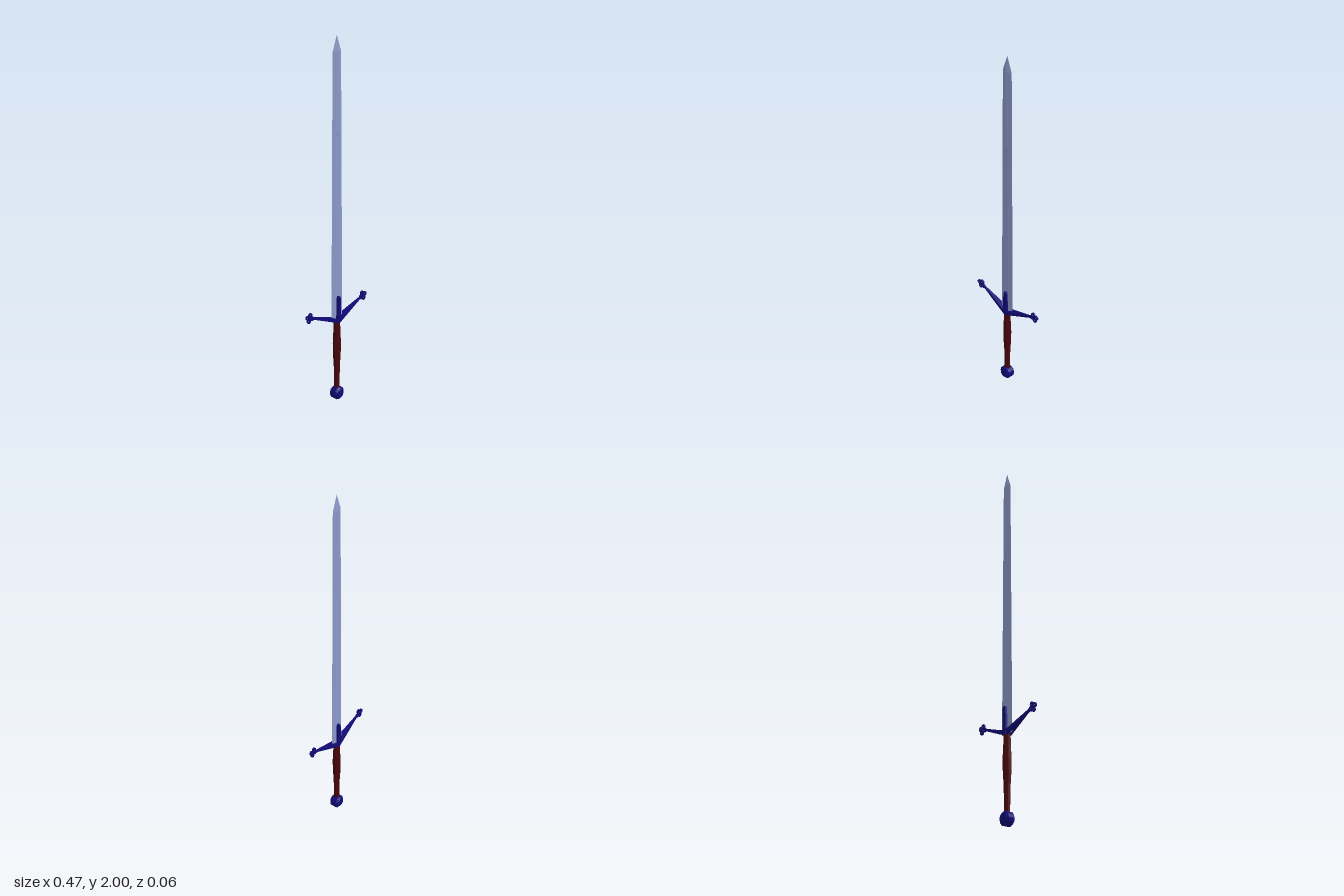
import * as THREE from 'three';

const material = (color) => new THREE.MeshStandardMaterial({ color, flatShading: true, side: THREE.DoubleSide });

// Skin a list of equal-length point rings and cap both ends
function loft(rings) {
  const pos = [], idx = [], n = rings[0].length;
  rings.forEach((ring) => ring.forEach((p) => pos.push(...p)));
  for (let r = 0; r < rings.length - 1; r++) {
    for (let i = 0; i < n; i++) {
      const a = r * n + i, b = r * n + (i + 1) % n;
      idx.push(a, a + n, b, b, a + n, b + n);
    }
  }
  const last = (rings.length - 1) * n;
  for (let i = 1; i < n - 1; i++) idx.push(0, i, i + 1, last, last + i + 1, last + i);
  const g = new THREE.BufferGeometry();
  g.setAttribute('position', new THREE.Float32BufferAttribute(pos, 3));
  g.setIndex(idx);
  const flat = g.toNonIndexed();
  flat.computeVertexNormals();
  return flat;
}

// Blade section: edge, shoulder, centre on each face; shoulder/centre depths set the fuller
function bladeRing(y, w, shoulderX, shoulderZ, centreZ) {
  return [
    [w, y, 0], [shoulderX, y, shoulderZ], [0, y, centreZ], [-shoulderX, y, shoulderZ],
    [-w, y, 0], [-shoulderX, y, -shoulderZ], [0, y, -centreZ], [shoulderX, y, -shoulderZ],
  ];
}

export function createModel() {
  const group = new THREE.Group();
  const steel = material(0x8c9acb);
  const blue = material(0x120a78);
  const red = material(0x4a060a);
  const add = (name, geometry, mat, parent = group) => {
    const mesh = new THREE.Mesh(geometry, mat);
    mesh.name = name;
    parent.add(mesh);
    return mesh;
  };

  // Blade: shallow fuller on the lower part, ridged diamond above
  add('blade', loft([
    bladeRing(0.47, 0.042, 0.014, 0.008, 0.005),
    bladeRing(1.49, 0.034, 0.011, 0.008, 0.005),
    bladeRing(1.51, 0.034, 0.011, 0.008, 0.012),
    bladeRing(1.92, 0.03, 0.01, 0.0075, 0.011),
    bladeRing(2.0, 0.0005, 0.0002, 0.0002, 0.0004),
  ]), steel);

  // Grip: eight-sided, swelling in the middle
  const gripProfile = [[0, 0.06], [0.016, 0.06], [0.019, 0.2], [0.024, 0.28], [0.025, 0.34], [0.021, 0.42], [0.02, 0.465], [0, 0.465]]
    .map(([x, y]) => new THREE.Vector2(x, y));
  const gripGeometry = new THREE.LatheGeometry(gripProfile, 8, Math.PI / 8);
  gripGeometry.scale(1, 1, 0.9);
  add('grip', gripGeometry, red);

  // Pommel: bevelled disc facing front and back
  const pommelProfile = [[0, -0.028], [0.024, -0.028], [0.037, -0.017], [0.037, 0.017], [0.024, 0.028], [0, 0.028]]
    .map(([x, y]) => new THREE.Vector2(x, y));
  const pommel = add('pommel', new THREE.LatheGeometry(pommelProfile, 12), blue);
  pommel.rotation.x = Math.PI / 2;
  pommel.position.y = 0.037;

  // Langets: round-topped tongues on both faces of the blade
  const tongue = new THREE.Shape();
  tongue.moveTo(-0.014, 0.465);
  tongue.lineTo(0.014, 0.465);
  tongue.lineTo(0.01, 0.605);
  tongue.lineTo(0.005, 0.614);
  tongue.lineTo(-0.005, 0.614);
  tongue.lineTo(-0.01, 0.605);
  for (const side of [1, -1]) {
    const g = new THREE.ExtrudeGeometry(tongue, { depth: 0.014, bevelEnabled: false });
    g.translate(0, 0, side > 0 ? 0.006 : -0.02);
    add(side > 0 ? 'frontLanget' : 'backLanget', g, blue);
  }

  // One arm section: centre height, half height and half depth
  const armRing = (x, y, h, d) => [[x, y - h, d], [x, y + h, d], [x, y + h, -d], [x, y - h, -d]];

  // Quatrefoil lobe: flat ring
  const lobe = new THREE.Shape();
  lobe.absarc(0, 0, 0.0125, 0, Math.PI * 2);
  const hole = new THREE.Path();
  hole.absarc(0, 0, 0.007, 0, Math.PI * 2, true);
  lobe.holes.push(hole);
  const lobeGeometry = new THREE.ExtrudeGeometry(lobe, { depth: 0.009, bevelEnabled: false, curveSegments: 6 });
  lobeGeometry.translate(0, 0, -0.0045);

  // Crossguard: two rising arms, each ending in four rings
  for (const side of [1, -1]) {
    const arm = new THREE.Group();
    arm.name = side > 0 ? 'leftQuillon' : 'rightQuillon';
    arm.rotation.y = side > 0 ? 0 : Math.PI;
    add('arm', loft([
      armRing(0, 0.472, 0.013, 0.02),
      armRing(0.03, 0.483, 0.011, 0.0175),
      armRing(0.168, 0.538, 0.007, 0.0045),
      armRing(0.188, 0.545, 0.006, 0.0045),
    ]), blue, arm);
    const finial = new THREE.Group();
    finial.name = 'finial';
    finial.position.set(0.206, 0.551, 0);
    finial.rotation.z = 0.36;
    for (let i = 0; i < 4; i++) {
      const a = i * Math.PI / 2;
      add('ring', lobeGeometry, blue, finial).position.set(0.0165 * Math.cos(a), 0.0165 * Math.sin(a), 0);
    }
    add('finialCentre', new THREE.CylinderGeometry(0.006, 0.006, 0.009, 8), blue, finial).rotation.x = Math.PI / 2;
    arm.add(finial);
    group.add(arm);
  }
  return group;
}
